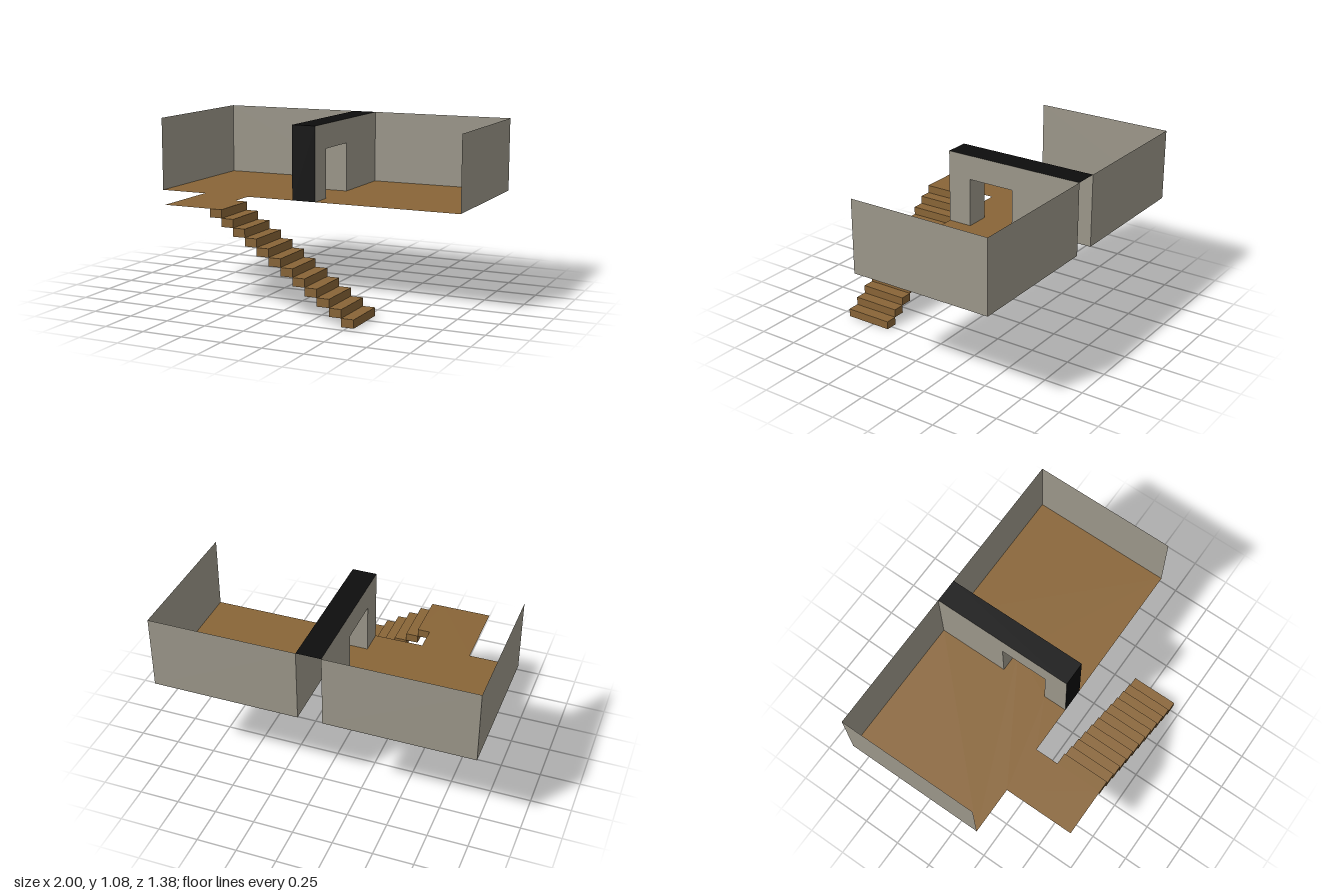
import * as THREE from 'three';

// Laid out in grid units; 26 units across = 2 model units.
const UNIT = 1 / 13;
const FLOOR = 8, TOP = 14;

export function createModel() {
  const material = (name, color) =>
    new THREE.MeshStandardMaterial({ name, color, side: THREE.DoubleSide });
  const wood = material('wood', 0x896537);
  const plaster = material('plaster', 0x9d988b);
  const black = material('black', 0x0d0d0d);

  const group = new THREE.Group();
  group.name = 'raisedRooms';
  group.scale.setScalar(UNIT);

  const add = (name, geometry, mat, x = 0, y = 0, z = 0) => {
    const mesh = new THREE.Mesh(geometry, mat);
    mesh.name = name;
    mesh.position.set(x, y, z);
    group.add(mesh);
    return mesh;
  };
  const flat = (points) =>
    new THREE.ShapeGeometry(new THREE.Shape(points.map(([a, b]) => new THREE.Vector2(a, b))));
  const horizontal = (w, d) => new THREE.PlaneGeometry(w, d).rotateX(-Math.PI / 2);

  // Floor with landing; open inside the hollow divider, solid in the doorway
  const floorOutline = [
    [-13, -9], [-1, -9], [-1, -3], [1, -3], [1, -9], [13, -9], [13, 3], [1, 3],
    [1, 1], [-1, 1], [-1, 3], [-5, 3], [-5, 9], [-9, 9], [-9, 3], [-13, 3],
  ];
  add('floor', flat(floorOutline.map(([x, z]) => [x, -z])).rotateX(-Math.PI / 2), wood, 0, FLOOR, 0);

  // Outer walls and divider sides, mirrored left and right
  const dividerOutline = [[-9, 0], [-9, 6], [3, 6], [3, 0], [1, 0], [1, 4], [-3, 4], [-3, 0]];
  for (const s of [-1, 1]) {
    const side = s > 0 ? 'left' : 'right';
    add(side + 'SideWall', new THREE.PlaneGeometry(12, 6).rotateY(s * Math.PI / 2), plaster, s * 13, FLOOR + 3, -3);
    add(side + 'BackWall', new THREE.PlaneGeometry(12, 6).rotateY(Math.PI), plaster, s * 7, FLOOR + 3, -9);
    add(side + 'DividerFace', flat(dividerOutline).rotateY(-Math.PI / 2), plaster, s, FLOOR, 0);
  }

  // Doorway lining
  add('doorwayFrontJamb', new THREE.PlaneGeometry(2, 4).rotateY(Math.PI), plaster, 0, FLOOR + 2, 1);
  add('doorwayBackJamb', new THREE.PlaneGeometry(2, 4), plaster, 0, FLOOR + 2, -3);
  add('doorwayLintel', horizontal(2, 4).rotateX(Math.PI), plaster, 0, FLOOR + 4, -1);

  // Black cut faces of the divider
  add('dividerTop', horizontal(2, 12), black, 0, TOP, -3);
  add('dividerFront', new THREE.PlaneGeometry(2, 6), black, 0, FLOOR + 3, 3);

  // Stairs, descending from the landing
  const steps = 12, rise = FLOOR / steps;
  const stepGeometry = new THREE.BoxGeometry(1, rise, 4);
  for (let i = 0; i < steps; i++) {
    add('stairStep' + (i + 1), stepGeometry, wood, -4.5 + i, FLOOR - (i + 0.5) * rise, 7);
  }

  return group;
}
